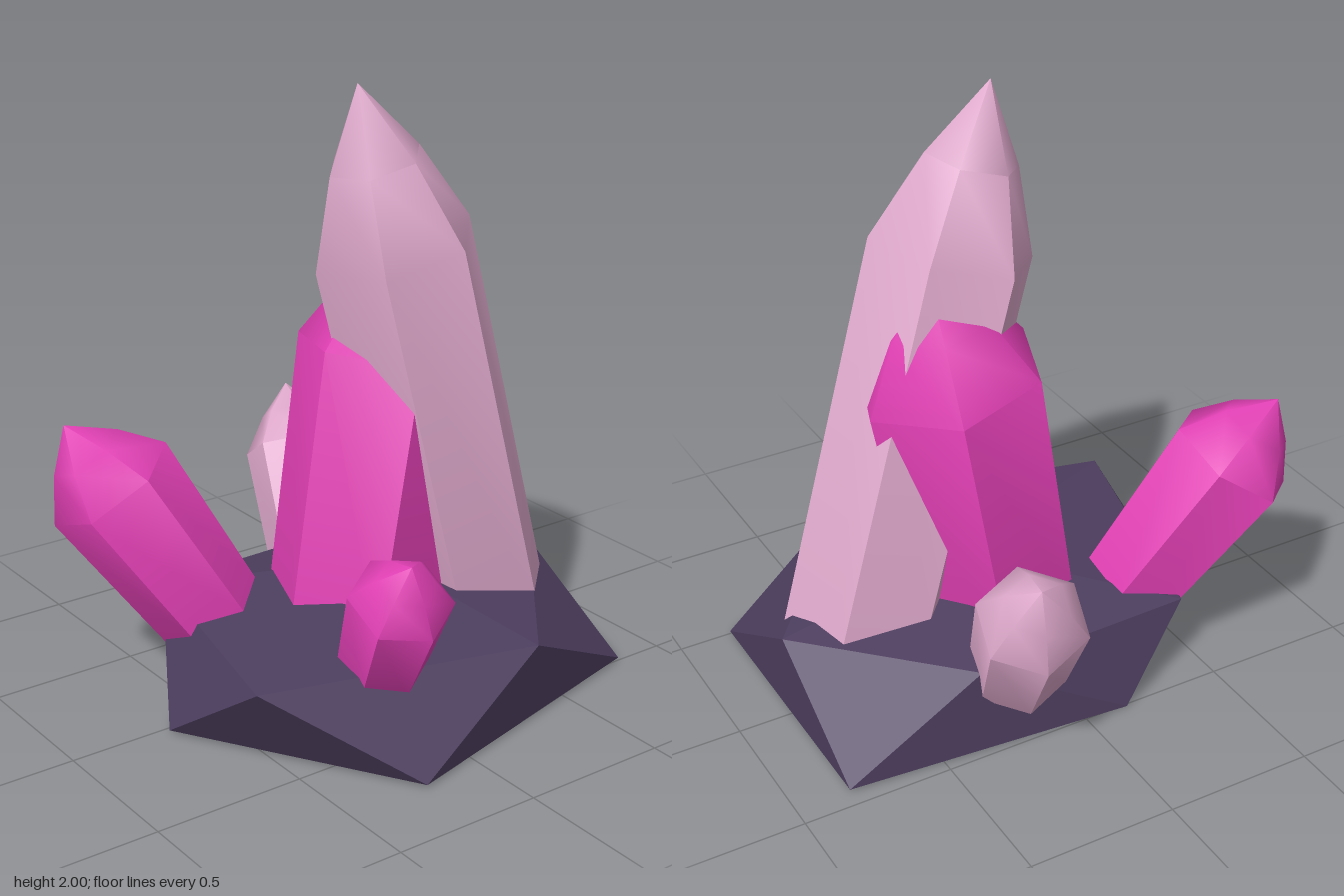
import * as THREE from 'three';
import { toCreasedNormals } from 'three/addons/utils/BufferGeometryUtils.js';
import { ConvexGeometry } from 'three/addons/geometries/ConvexGeometry.js';

const material = (name, color) => {
  const m = new THREE.MeshStandardMaterial({ color });
  m.name = name;
  return m;
};

// Six-sided crystal: a prism from base to shoulder, then a two-step point up to the tip.
// phase is the angle (degrees) of one corner, measured from +x towards +z.
function crystal({ name, base, shoulder, tipHeight, baseRadius, radius, phase }, mat) {
  const start = new THREE.Vector3(...base);
  const axis = new THREE.Vector3(...shoulder).sub(start);
  const length = axis.length();
  const profile = [
    [0, 0],
    [baseRadius, 0],
    [radius, length],
    [radius * 0.57, length + tipHeight * 0.53],
    [0, length + tipHeight],
  ].map(([r, y]) => new THREE.Vector2(r, y));
  let geometry = new THREE.LatheGeometry(profile, 6, THREE.MathUtils.degToRad(30 - phase));
  geometry.deleteAttribute('uv');
  // long edges stay sharp while the point is smooth
  geometry = toCreasedNormals(geometry, 0.97);
  const mesh = new THREE.Mesh(geometry, mat);
  mesh.name = name;
  mesh.position.copy(start);
  mesh.quaternion.setFromUnitVectors(new THREE.Vector3(0, 1, 0), axis.normalize());
  return mesh;
}

export function createModel() {
  const group = new THREE.Group();
  group.name = 'crystalCluster';
  const rockMat = material('dark purple rock', 0x4d3e5f);
  const paleMat = material('pale pink crystal', 0xdfa9cc);
  const magentaMat = material('magenta crystal', 0xe03fb3);

  // Rock: pentagon on the ground, a turned pentagon above it, and a low peak
  const rockPoints = [
    [-0.22, 0.01, 0.77], [0.82, 0.01, 0.5], [0.82, 0.01, -0.44], [-0.15, 0, -0.51], [-0.67, 0.01, 0.03],
    [0.3, 0.28, 0.67], [0.82, 0.28, 0.03], [0.35, 0.28, -0.44], [-0.41, 0.28, -0.42], [-0.61, 0.29, 0.44],
    [0.16, 0.39, 0.05],
  ].map((p) => new THREE.Vector3(...p));
  const rock = new THREE.Mesh(new ConvexGeometry(rockPoints), rockMat);
  rock.name = 'rockBase';
  group.add(rock);

  // Pale crystals
  const pale = [
    { name: 'tallCrystal', base: [0.51, 0.15, 0.1], shoulder: [0.15, 1.48, 0.1],
      tipHeight: 0.54, baseRadius: 0.27, radius: 0.27, phase: 13 },
    { name: 'backCrystal', base: [0.2, 0.22, -0.4], shoulder: [0.27, 0.56, -0.61],
      tipHeight: 0.23, baseRadius: 0.16, radius: 0.18, phase: 43 },
  ];
  // Magenta crystals
  const magenta = [
    { name: 'middleCrystal', base: [0.05, 0.2, 0.02], shoulder: [0.22, 1.1, 0],
      tipHeight: 0.4, baseRadius: 0.29, radius: 0.31, phase: 50 },
    { name: 'rightCrystal', base: [-0.36, 0.25, -0.2], shoulder: [-0.64, 0.72, -0.34],
      tipHeight: 0.25, baseRadius: 0.18, radius: 0.22, phase: 20 },
    { name: 'frontCrystal', base: [-0.16, 0.27, 0.46], shoulder: [-0.21, 0.56, 0.62],
      tipHeight: 0.165, baseRadius: 0.14, radius: 0.165, phase: 30 },
  ];
  pale.forEach((c) => group.add(crystal(c, paleMat)));
  magenta.forEach((c) => group.add(crystal(c, magentaMat)));
  return group;
}
